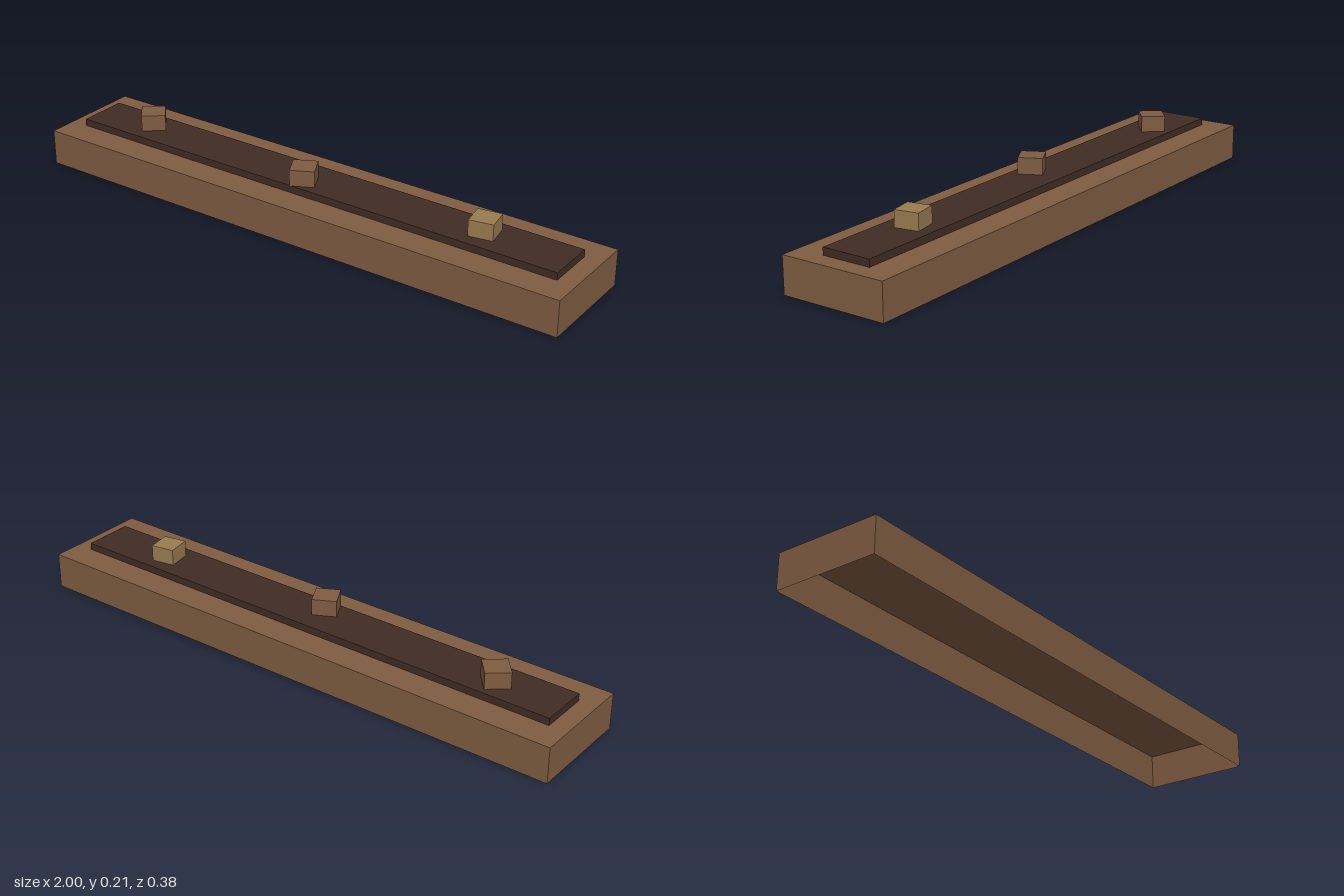
import * as THREE from 'three';

const wood = new THREE.MeshStandardMaterial({ color: 0x7f5c41, side: THREE.DoubleSide });
wood.name = 'wood brown';
const soil = new THREE.MeshStandardMaterial({ color: 0x402c23, side: THREE.DoubleSide });
soil.name = 'dark brown';
const straw = new THREE.MeshStandardMaterial({ color: 0x987b50, side: THREE.DoubleSide });
straw.name = 'straw tan';

// Thin-walled box standing on y = 0, open underneath
function openBox(width, height, depth) {
  const geometry = new THREE.BoxGeometry(width, height, depth).translate(0, height / 2, 0);
  const index = Array.from(geometry.index.array);
  index.splice(18, 6); // drop the bottom face
  geometry.setIndex(index);
  geometry.clearGroups();
  return geometry;
}

function addPart(group, name, geometry, material, x, y, z, turn = 0) {
  const mesh = new THREE.Mesh(geometry, material);
  mesh.name = name;
  mesh.position.set(x, y, z);
  mesh.rotation.y = THREE.MathUtils.degToRad(turn);
  group.add(mesh);
}

export function createModel() {
  const group = new THREE.Group();
  group.name = 'trough';

  // Hollow tray and the raised filling on top
  addPart(group, 'tray', openBox(2, 0.125, 0.375), wood, 0, 0, 0);
  addPart(group, 'filling', openBox(1.875, 0.025, 0.175), soil, 0, 0.125, 0);

  // Loose blocks, each turned differently
  const block = openBox(0.083, 0.0565, 0.083);
  addPart(group, 'rightBlock', block, wood, -0.703, 0.15, -0.01, 40);
  addPart(group, 'middleBlock', block, wood, -0.021, 0.15, 0.035, 27);
  addPart(group, 'leftBlock', block, straw, 0.639, 0.15, -0.002, 10);

  return group;
}
